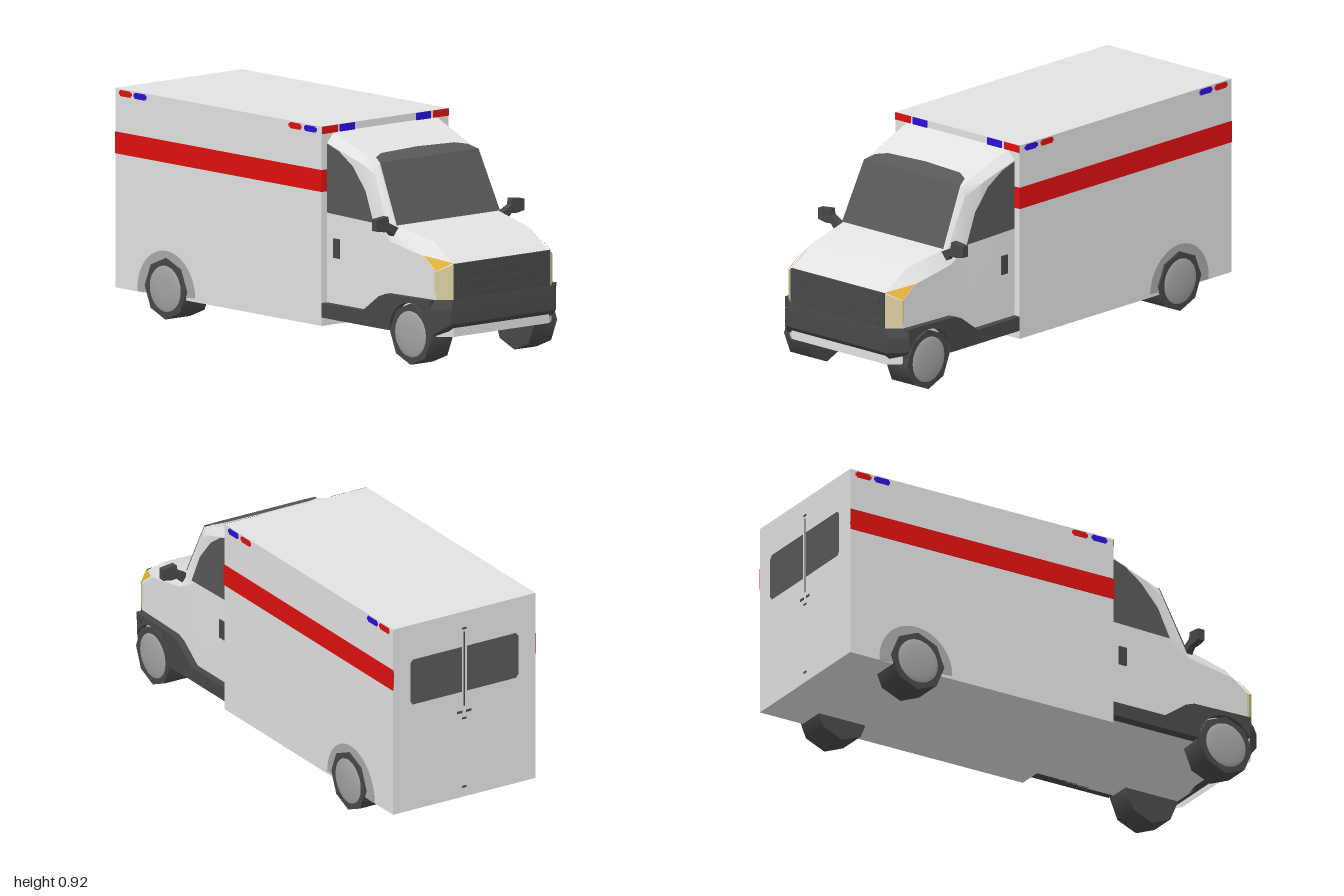
import * as THREE from 'three';
import { toCreasedNormals } from 'three/addons/utils/BufferGeometryUtils.js';

const paint = (name, color) =>
  new THREE.MeshStandardMaterial({ name, color, side: THREE.DoubleSide });

export function createModel() {
  const white = paint('body white', 0xe2e2e2);
  const red = paint('signal red', 0xe01010);
  const blue = paint('signal blue', 0x2812d6);
  const glass = paint('window grey', 0x585858);
  const dark = paint('trim black', 0x484848);
  const amber = paint('indicator amber', 0xe0ae3c);
  const pale = paint('headlight cream', 0xdccfa0);
  const archGrey = paint('arch grey', 0xaaaaaa);
  const rimGrey = paint('rim grey', 0xa4a4a4);

  const model = new THREE.Group();
  model.name = 'ambulance';

  const add = (name, geometry, material, x = 0, y = 0, z = 0) => {
    const mesh = new THREE.Mesh(geometry, material);
    mesh.name = name;
    mesh.position.set(x, y, z);
    model.add(mesh);
    return mesh;
  };
  // Box given by its two opposite corners
  const block = (name, material, [x0, y0, z0], [x1, y1, z1]) =>
    add(name, new THREE.BoxGeometry(x1 - x0, y1 - y0, z1 - z0), material,
      (x0 + x1) / 2, (y0 + y1) / 2, (z0 + z1) / 2);
  // Surface through rows of points
  const loft = (rows, crease = 0.5) => {
    const pos = rows.flat(2), idx = [], n = rows[0].length;
    for (let r = 0; r < rows.length - 1; r++)
      for (let c = 0; c < n - 1; c++) {
        const a = r * n + c, b = a + n;
        idx.push(a, b, a + 1, a + 1, b, b + 1);
      }
    const g = new THREE.BufferGeometry();
    g.setAttribute('position', new THREE.Float32BufferAttribute(pos, 3));
    g.setIndex(idx);
    return toCreasedNormals(g, crease);
  };
  // Half rows run from the centre outwards; the other half is mirrored
  const mirrorRow = (row) =>
    [...row.slice(1).reverse().map(([x, y, z]) => [-x, y, z]), ...row];
  // Flat convex panel
  const panel = (points) => {
    const g = new THREE.BufferGeometry(), idx = [];
    for (let i = 1; i < points.length - 1; i++) idx.push(0, i, i + 1);
    g.setAttribute('position', new THREE.Float32BufferAttribute(points.flat(), 3));
    g.setIndex(idx);
    g.computeVertexNormals();
    return g;
  };
  // Side profile in (z, y), extruded along +x from x0
  const sideExtrude = (shape, depth, x0) => {
    const g = new THREE.ExtrudeGeometry(shape, { depth, bevelEnabled: false, curveSegments: 16 });
    g.rotateY(Math.PI / 2).scale(1, 1, -1); // shape x becomes z
    return g.translate(x0, 0, 0);
  };
  const shapeOf = (pts) => new THREE.Shape(pts.map(([a, b]) => new THREE.Vector2(a, b)));

  // Patient compartment
  block('rearBody', white, [-0.345, 0.095, -1], [0.345, 0.92, 0.27]);

  // Cab shell: roof, windscreen, bonnet and nose
  const cabRows = [
    [[0, 0.89, 0.27], [0.28, 0.89, 0.27], [0.315, 0.85, 0.27], [0.315, 0.55, 0.27], [0.315, 0.13, 0.27]],
    [[0, 0.82, 0.46], [0.27, 0.82, 0.46], [0.305, 0.79, 0.46], [0.315, 0.55, 0.46], [0.315, 0.13, 0.46]],
    [[0, 0.79, 0.54], [0.27, 0.79, 0.54], [0.29, 0.75, 0.54], [0.315, 0.55, 0.54], [0.315, 0.13, 0.54]],
    [[0, 0.55, 0.655], [0.28, 0.55, 0.655], [0.29, 0.535, 0.655], [0.315, 0.49, 0.655], [0.315, 0.13, 0.655]],
    [[0, 0.51, 0.865], [0.26, 0.51, 0.865], [0.288, 0.483, 0.865], [0.315, 0.455, 0.865], [0.315, 0.13, 0.865]],
    [[0, 0.43, 0.985], [0.26, 0.43, 0.985], [0.288, 0.415, 0.963], [0.315, 0.4, 0.94], [0.315, 0.13, 0.94]],
    [[0, 0.13, 0.985], [0.26, 0.13, 0.985], [0.288, 0.13, 0.963], [0.315, 0.13, 0.94], [0.315, 0.13, 0.94]],
  ];
  add('cab', loft(cabRows.map(mirrorRow)), white);
  block('cabFloor', white, [-0.315, 0.13, 0.27], [0.315, 0.14, 0.94]);

  // Windscreen, wrapping slightly onto the roof
  add('windscreen', loft([
    [[0, 0.824, 0.462], [0.2, 0.82, 0.472], [0.25, 0.811, 0.497]],
    [[0, 0.796, 0.543], [0.2, 0.796, 0.543], [0.268, 0.795, 0.543]],
    [[0, 0.553, 0.66], [0.2, 0.553, 0.66], [0.281, 0.553, 0.66]],
  ].map(mirrorRow)), glass);

  // Grille with raised bars
  block('grille', dark, [-0.26, 0.27, 0.98], [0.26, 0.432, 0.992]);
  for (const y of [0.302, 0.348, 0.394])
    block('grilleBar', dark, [-0.24, y - 0.012, 0.99], [0.24, y + 0.012, 0.997]);

  // Front bumper: [y, front z, chamfer x, side x, side z]
  const bumperRows = [
    [0.285, 0.985, 0.262, 0.312, 0.935], [0.285, 0.995, 0.27, 0.316, 0.94],
    [0.245, 1, 0.285, 0.345, 0.93], [0.185, 1, 0.285, 0.345, 0.93],
    [0.13, 0.955, 0.265, 0.34, 0.925], [0.13, 0.92, 0.265, 0.3, 0.92],
  ].map(([y, zf, xc, xs, zs]) => mirrorRow([[0, y, zf], [xc, y, zf], [xs, y, zs]]));
  add('frontBumper', loft(bumperRows, 0.3), dark);

  // Lower skirt profile with a wheel cut-out
  const skirt = [[0.27, 0.13], [0.27, 0.19], [0.52, 0.19], [0.62, 0.262], [0.66, 0.277], [0.935, 0.283]];
  for (let i = 0; i <= 10; i++) {
    const a = THREE.MathUtils.degToRad(28 + 15.2 * i);
    skirt.push([0.815 + 0.13 * Math.cos(a), 0.13 + 0.13 * Math.sin(a)]);
  }
  const mirrorShape = shapeOf([
    [0.283, 0.545], [0.31, 0.513], [0.332, 0.537], [0.36, 0.535],
    [0.402, 0.542], [0.402, 0.59], [0.338, 0.597], [0.333, 0.57]]);
  const arch = new THREE.Shape();
  arch.moveTo(-0.51, 0.097);
  arch.absarc(-0.685, 0.11, 0.175, 0, Math.PI, false);
  arch.lineTo(-0.86, 0.097);

  // Parts repeated on both sides
  for (const s of [1, -1]) {
    const side = (name, geometry, material) => {
      const mesh = add(name, geometry, material);
      mesh.scale.x = s;
      return mesh;
    };
    const plate = (name, material, x, y0, y1, z0, z1) =>
      side(name, new THREE.BoxGeometry(0.008, y1 - y0, z1 - z0)
        .translate(x, (y0 + y1) / 2, (z0 + z1) / 2), material);

    side('skirt', sideExtrude(shapeOf(skirt), 0.045, 0.3), dark);
    side('wheelArch', sideExtrude(arch, 0.004, 0.345), archGrey);
    side('sideWindow', panel([
      [0.32, 0.562, 0.275], [0.319, 0.555, 0.56], [0.314, 0.68, 0.505],
      [0.313, 0.772, 0.425], [0.318, 0.825, 0.345], [0.32, 0.848, 0.275]]), glass);
    plate('doorHandle', dark, 0.317, 0.38, 0.46, 0.313, 0.35);
    side('doorMirror', new THREE.ExtrudeGeometry(mirrorShape, { depth: 0.03, bevelEnabled: false })
      .translate(0, 0, 0.643), dark);

    // Headlight on the nose corner, indicator above it
    side('headlight', panel([
      [0.262, 0.285, 0.989], [0.318, 0.285, 0.943], [0.318, 0.402, 0.943], [0.262, 0.432, 0.989]]), pale);
    side('headlightReturn', panel([
      [0.3165, 0.31, 0.943], [0.3165, 0.31, 0.934], [0.3165, 0.402, 0.934], [0.3165, 0.402, 0.943]]), pale);
    side('indicator', panel([
      [0.262, 0.436, 0.988], [0.319, 0.404, 0.944], [0.319, 0.459, 0.868]]), amber);

    // Stripe along the side and round onto the front edge
    plate('sideStripe', red, 0.3445, 0.65, 0.74, -1, 0.272);
    side('frontStripe', new THREE.BoxGeometry(0.034, 0.09, 0.006).translate(0.331, 0.695, 0.27), red);

    // Signal lights
    for (const [mat, z] of [[blue, 0.202], [red, 0.108], [blue, -0.847], [red, -0.937]]) {
      plate('sideLight', mat, 0.344, 0.89, 0.915, z - 0.031, z + 0.031);
      plate('sideLight', mat, 0.344, 0.896, 0.909, z - 0.038, z + 0.038);
    }
    for (const [mat, x0, x1] of [[red, 0.26, 0.344], [blue, 0.168, 0.247]])
      side('frontLight', new THREE.BoxGeometry(x1 - x0, 0.03, 0.008)
        .translate((x0 + x1) / 2, 0.904, 0.27), mat);

    // Rear doors
    side('rearWindow', panel([
      [0.012, 0.565, -1.002], [0.25, 0.565, -1.002], [0.262, 0.58, -1.002],
      [0.262, 0.75, -1.002], [0.25, 0.765, -1.002], [0.012, 0.765, -1.002]]), glass);
    side('rearDoorHandle', new THREE.BoxGeometry(0.025, 0.01, 0.004).translate(0.022, 0.475, -1), dark);

    // Wheels: eight-sided tyres with domed hubs
    for (const [z, xOut] of [[0.815, 0.343], [-0.68, 0.357]]) {
      const width = xOut - 0.222;
      side('tyre', toCreasedNormals(new THREE.CylinderGeometry(0.127, 0.127, width, 8)
        .rotateZ(Math.PI / 2), 0.9).translate(xOut - width / 2, 0.13, z), dark);
      side('hub', new THREE.SphereGeometry(0.1, 20, 12).scale(0.14, 1, 1)
        .translate(xOut - 0.004, 0.13, z), rimGrey);
    }
  }
  block('rearDoorSeam', dark, [-0.002, 0.5, -1.002], [0.002, 0.83, -0.998]);
  for (const y of [0.845, 0.445, 0.14])
    block('rearDoorLatch', dark, [-0.01, y - 0.004, -1.002], [0.01, y + 0.004, -0.998]);

  return model;
}
